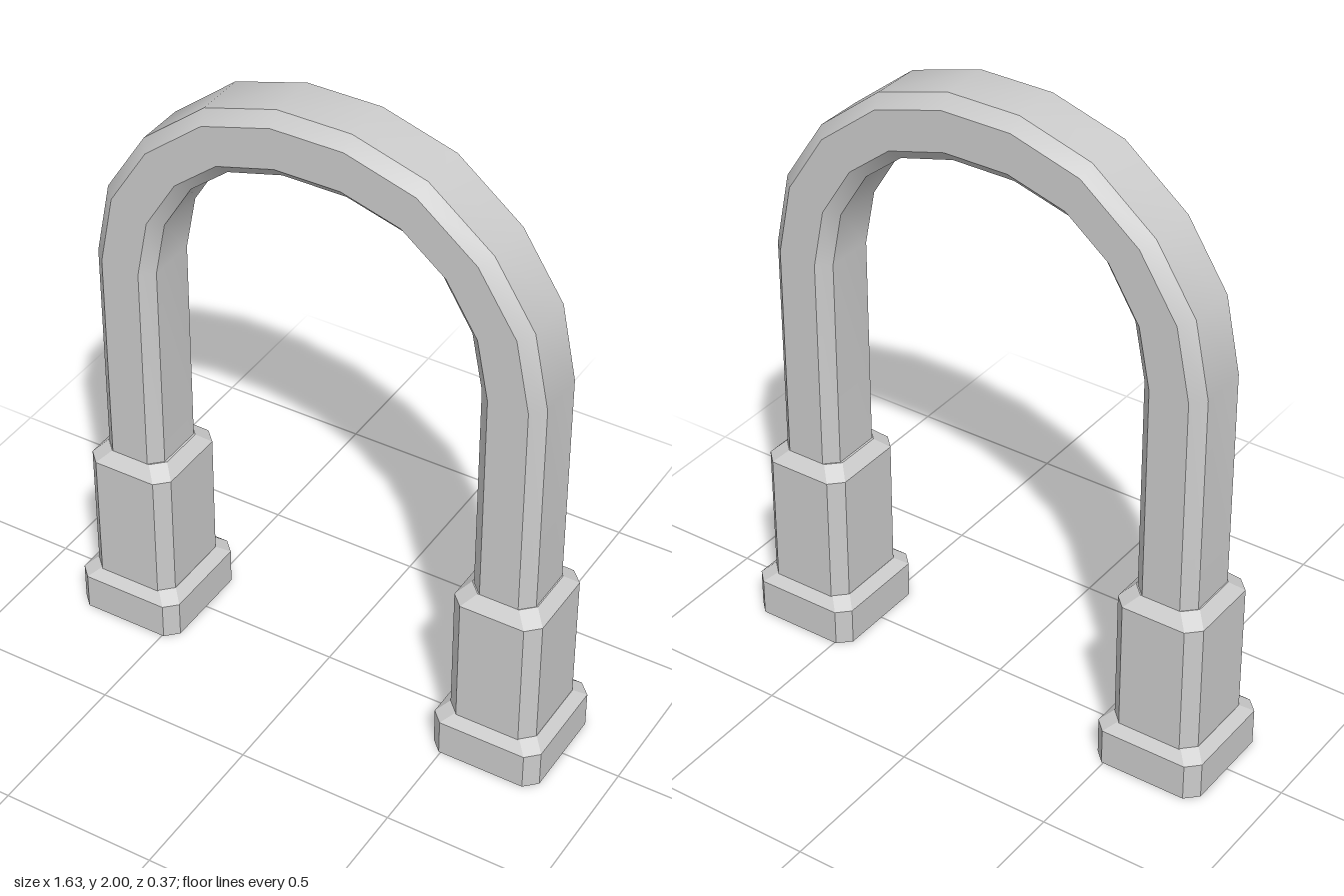
import * as THREE from 'three';
import { ConvexGeometry } from 'three/addons/geometries/ConvexGeometry.js';

const material = new THREE.MeshStandardMaterial({ color: 0xcccccc });

function addMesh(parent, geometry, name) {
  const mesh = new THREE.Mesh(geometry, material);
  mesh.name = name;
  parent.add(mesh);
}

// Rectangle with cut corners at height y, centred on the leg
function octagon(hx, hz, c, y) {
  return [[hx - c, hz], [hx, hz - c], [hx, c - hz], [hx - c, -hz],
    [c - hx, -hz], [-hx, c - hz], [-hx, hz - c], [c - hx, hz]]
    .map(([x, z]) => new THREE.Vector3(x, y, z));
}

// Solid block with cut corners and a bevelled top edge
function bevelledBlock(hx, hz, c, bottom, shoulder, top, inset) {
  return new ConvexGeometry([
    ...octagon(hx, hz, c, bottom),
    ...octagon(hx, hz, c, shoulder),
    ...octagon(hx - inset, hz - inset, c, top),
  ]);
}

// Bent bar: lengthwise edges stay sharp, the bend shades smoothly
function archGeometry() {
  // outer x, y and inner x, y at each station of the left half
  const half = [
    [0.738, 0.55, 0.535, 0.55],
    [0.738, 1.32, 0.535, 1.31],
    [0.69, 1.56, 0.5, 1.49],
    [0.558, 1.765, 0.405, 1.645],
    [0.352, 1.93, 0.28, 1.745],
    [0.118, 2.0, 0.102, 1.795],
  ];
  const mirrored = half.slice().reverse().map(([a, b, c, d]) => [-a, b, -c, d]);
  const stations = [...half, ...mirrored];
  // [fraction from outer to inner, z]
  const section = [[0, -0.08], [0, 0.08], [0.19, 0.118], [0.81, 0.118],
    [1, 0.08], [1, -0.08], [0.81, -0.118], [0.19, -0.118]];

  const positions = [];
  const index = [];
  section.forEach((p, k) => {
    const start = positions.length / 3;
    const edges = [p, section[(k + 1) % section.length]];
    stations.forEach(([ox, oy, ix, iy], j) => {
      for (const [s, z] of edges) positions.push(ox + (ix - ox) * s, oy + (iy - oy) * s, z);
      if (j === 0) return;
      const a = start + 2 * (j - 1);
      index.push(a, a + 2, a + 3, a, a + 3, a + 1);
    });
  });

  const geometry = new THREE.BufferGeometry();
  geometry.setAttribute('position', new THREE.Float32BufferAttribute(positions, 3));
  geometry.setIndex(index);
  geometry.computeVertexNormals();
  return geometry;
}

export function createModel() {
  const model = new THREE.Group();
  model.name = 'arch';
  addMesh(model, archGeometry(), 'archBar');

  // Collar and foot at the bottom of each leg
  for (const [side, name] of [[1, 'left'], [-1, 'right']]) {
    const support = new THREE.Group();
    support.name = name + 'Support';
    support.position.x = side * 0.635;
    addMesh(support, bevelledBlock(0.144, 0.155, 0.04, 0.1, 0.575, 0.612, 0.037), name + 'Collar');
    addMesh(support, bevelledBlock(0.179, 0.186, 0.038, 0, 0.12, 0.15, 0.034), name + 'Foot');
    model.add(support);
  }
  return model;
}
